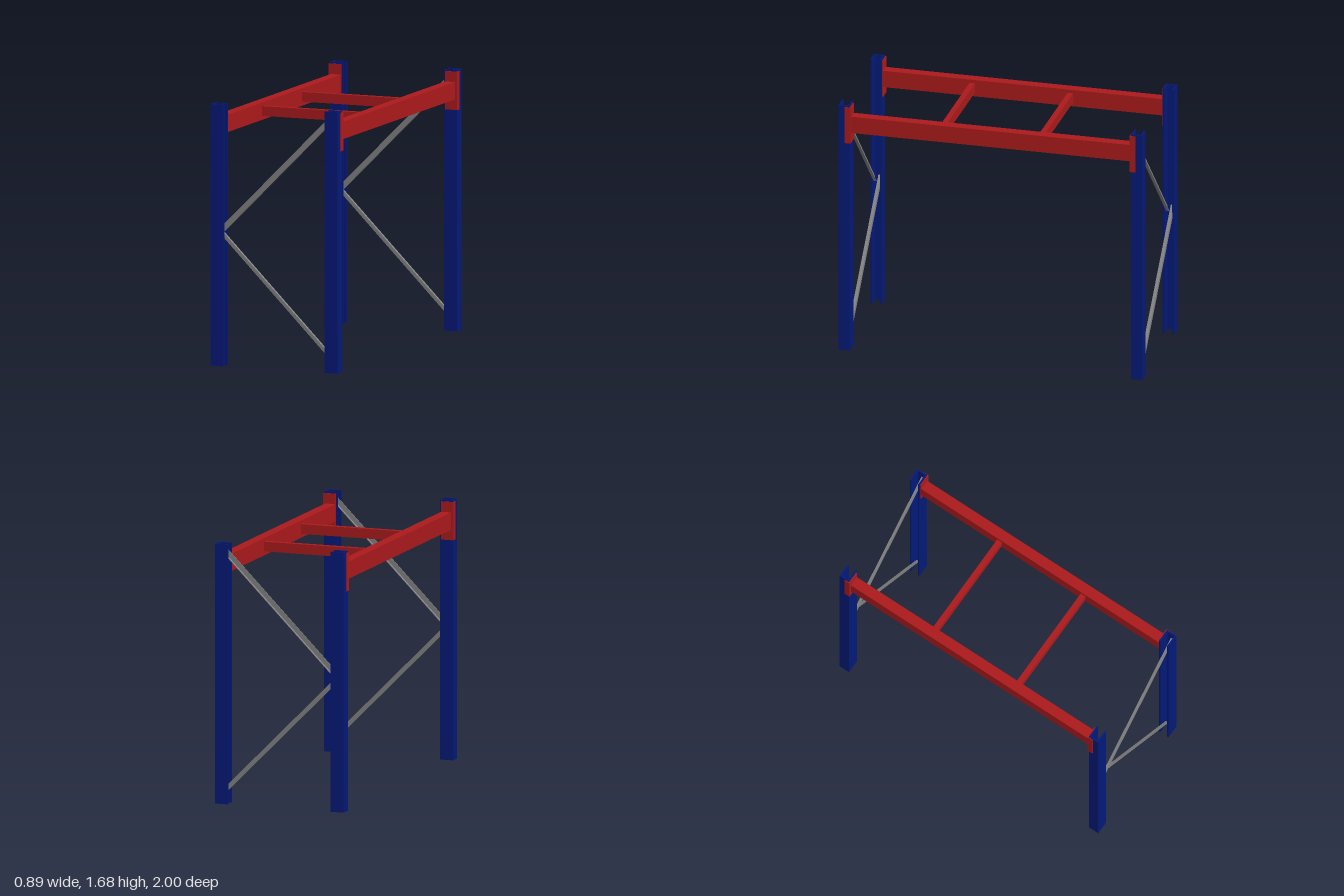
import * as THREE from 'three';

const mat = (name, color) => {
  const m = new THREE.MeshStandardMaterial({ color });
  m.name = name;
  return m;
};

export function createModel() {
  const blue = mat('blue paint', 0x031978);
  const red = mat('red paint', 0xac1a1c);
  const grey = mat('galvanised grey', 0x848484);
  const model = new THREE.Group();
  model.name = 'rackFrame';

  const add = (name, geo, material, x, y, z, parent = model) => {
    const mesh = new THREE.Mesh(geo, material);
    mesh.name = name;
    mesh.position.set(x, y, z);
    parent.add(mesh);
    return mesh;
  };
  // Box given by its minimum and maximum on each axis
  const span = (name, material, x0, x1, y0, y1, z0, z1) =>
    add(name, new THREE.BoxGeometry(Math.abs(x1 - x0), y1 - y0, Math.abs(z1 - z0)), material,
      (x0 + x1) / 2, (y0 + y1) / 2, (z0 + z1) / 2);

  // Upright: channel section, open towards the middle of the frame
  const H = 1.685, t = 0.011;
  const upright = (sx, sz) => {
    const pts = [[0.44, 0.927], [0.44, 1], [0.35, 1], [0.35, 1 - t], [0.44 - t, 1 - t],
      [0.44 - t, 0.927 + t], [0.35, 0.927 + t], [0.35, 0.927]];
    // Shape y is turned to -z by the rotation below
    const shape = new THREE.Shape(pts.map(([x, z]) => new THREE.Vector2(x * sx, -z * sz)));
    const geo = new THREE.ExtrudeGeometry(shape, { depth: H, bevelEnabled: false });
    geo.rotateX(-Math.PI / 2);
    add('upright', geo, blue, 0, 0, 0);
  };

  // Brace: angle section; side = 1 puts its web at the front with the flange below,
  // side = -1 is the same bar turned over, lying behind the other
  const brace = (name, a, b, width, side, z) => {
    const dx = b[0] - a[0], dy = b[1] - a[1], length = Math.hypot(dx, dy);
    const depth = 0.02, thick = 0.004;
    const group = new THREE.Group();
    group.name = name;
    group.position.set((a[0] + b[0]) / 2, (a[1] + b[1]) / 2, z);
    group.rotation.z = Math.atan2(dy, dx);
    add('braceWeb', new THREE.BoxGeometry(length, width, thick), grey, 0, 0, side * (0.026 - thick / 2), group);
    add('braceFlange', new THREE.BoxGeometry(length, thick, depth - thick), grey,
      0, -side * (width - thick) / 2, side * (0.026 - thick - (depth - thick) / 2), group);
    model.add(group);
  };

  for (const sz of [-1, 1]) {
    for (const sx of [-1, 1]) {
      upright(sx, sz);
      // Angle connector: face plate on the upright plus a wrap on its outer side
      span('connectorFace', red, 0.36 * sx, 0.445 * sx, 1.428, 1.675, 0.92 * sz, 0.927 * sz);
      span('connectorSide', red, 0.44 * sx, 0.445 * sx, 1.428, 1.675, 0.927 * sz, 0.958 * sz);
    }
    brace('upperBrace', [-0.4, 0.843], [0.41, 1.655], 0.035, 1, 0.964 * sz);
    brace('lowerBrace', [-0.4, 0.867], [0.4, 0.063], 0.029, -1, 0.964 * sz);
  }

  // Long load beams
  for (const sx of [-1, 1]) span('loadBeam', red, 0.362 * sx, 0.43 * sx, 1.496, 1.608, -0.92, 0.92);

  // Cross ties between the beams
  for (const z of [-0.314, 0.332]) span('crossTie', red, -0.362, 0.362, 1.522, 1.585, z - 0.018, z + 0.018);

  return model;
}
